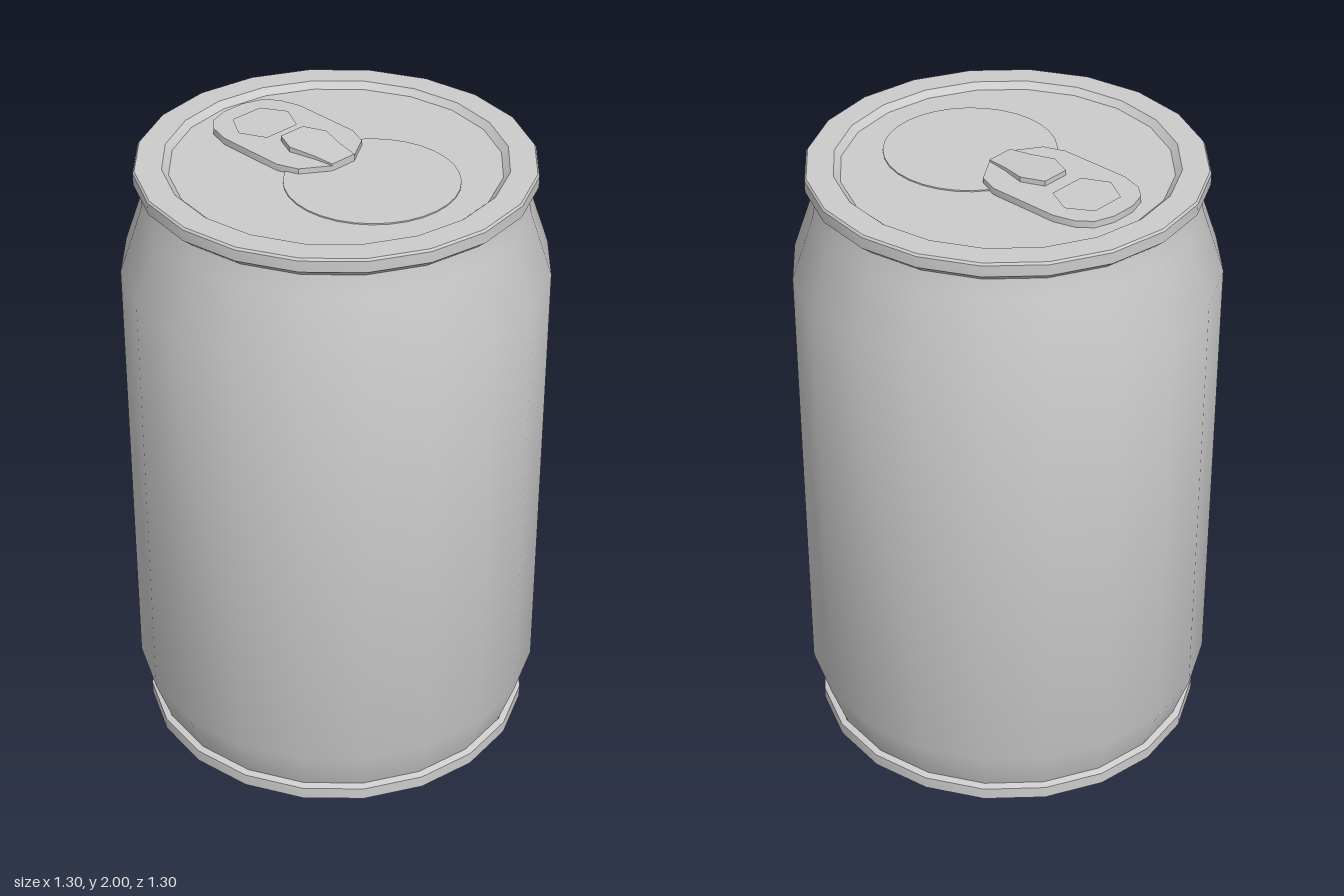
import * as THREE from 'three';
import { toCreasedNormals } from 'three/addons/utils/BufferGeometryUtils.js';

const SIDES = 20;
const PANEL_Y = 1.963;

export function createModel() {
  const group = new THREE.Group();
  const material = new THREE.MeshStandardMaterial({ color: 0xcccccc });

  const add = (name, geometry) => {
    const mesh = new THREE.Mesh(toCreasedNormals(geometry, 0.5), material);
    mesh.name = name;
    group.add(mesh);
    return mesh;
  };
  const lathe = (name, profile) =>
    add(name, new THREE.LatheGeometry(profile.map(([r, y]) => new THREE.Vector2(r, y)), SIDES));

  // Outline mirrored across x; points are [x, z] on the +x side, from back to front
  const mirrored = (half, PathClass) => {
    const all = [...half, ...half.slice().reverse().map(([x, z]) => [-x, z])];
    return new PathClass(all.map(([x, z]) => new THREE.Vector2(x, -z)));
  };
  const slab = (shape, bottom, depth) =>
    new THREE.ExtrudeGeometry(shape, { depth, bevelEnabled: false })
      .rotateX(-Math.PI / 2).translate(0, bottom, 0);

  // Base with its protruding foot ring
  lathe('baseRing', [[0, 0], [0.595, 0], [0.62, 0.02], [0.62, 0.06], [0.6, 0.067]]);

  // Wall with tapered foot and shoulder
  lathe('body', [[0.597, 0.06], [0.65, 0.21], [0.65, 1.65], [0.582, 1.85], [0.57, 1.92]]);

  // Rolled rim, inner step and recessed lid panel
  lathe('rimAndLid', [[0.57, 1.915], [0.6, 1.94], [0.6, 1.975], [0.595, 1.982],
    [0.515, 1.982], [0.495, PANEL_Y], [0, PANEL_Y]]);

  // Slightly raised mouth panel
  add('mouthPanel', new THREE.CylinderGeometry(0.26, 0.26, 0.006, 32))
    .position.set(0, PANEL_Y + 0.001, 0.15);

  // Pull tab with finger hole
  const tab = mirrored([[0.04, -0.45], [0.1, -0.43], [0.135, -0.39], [0.155, -0.32],
    [0.155, -0.09], [0.13, -0.025], [0.045, 0.03]], THREE.Shape);
  tab.holes.push(mirrored([[0.055, -0.39], [0.1, -0.315], [0.06, -0.235]], THREE.Path));
  add('pullTab', slab(tab, PANEL_Y, 0.021));

  // Raised tongue: flat at the back, sloping down towards the front
  const tongue = slab(mirrored([[0.045, -0.19], [0.075, -0.12], [0.055, -0.04], [0.045, 0.03]],
    THREE.Shape), 1.975, 0.025);
  const pos = tongue.attributes.position;
  for (let i = 0; i < pos.count; i++) {
    if (pos.getY(i) > 1.99) pos.setY(i, 2 - 0.07 * Math.max(0, pos.getZ(i) + 0.12));
  }
  tongue.computeVertexNormals();
  add('tabTongue', tongue);

  return group;
}
